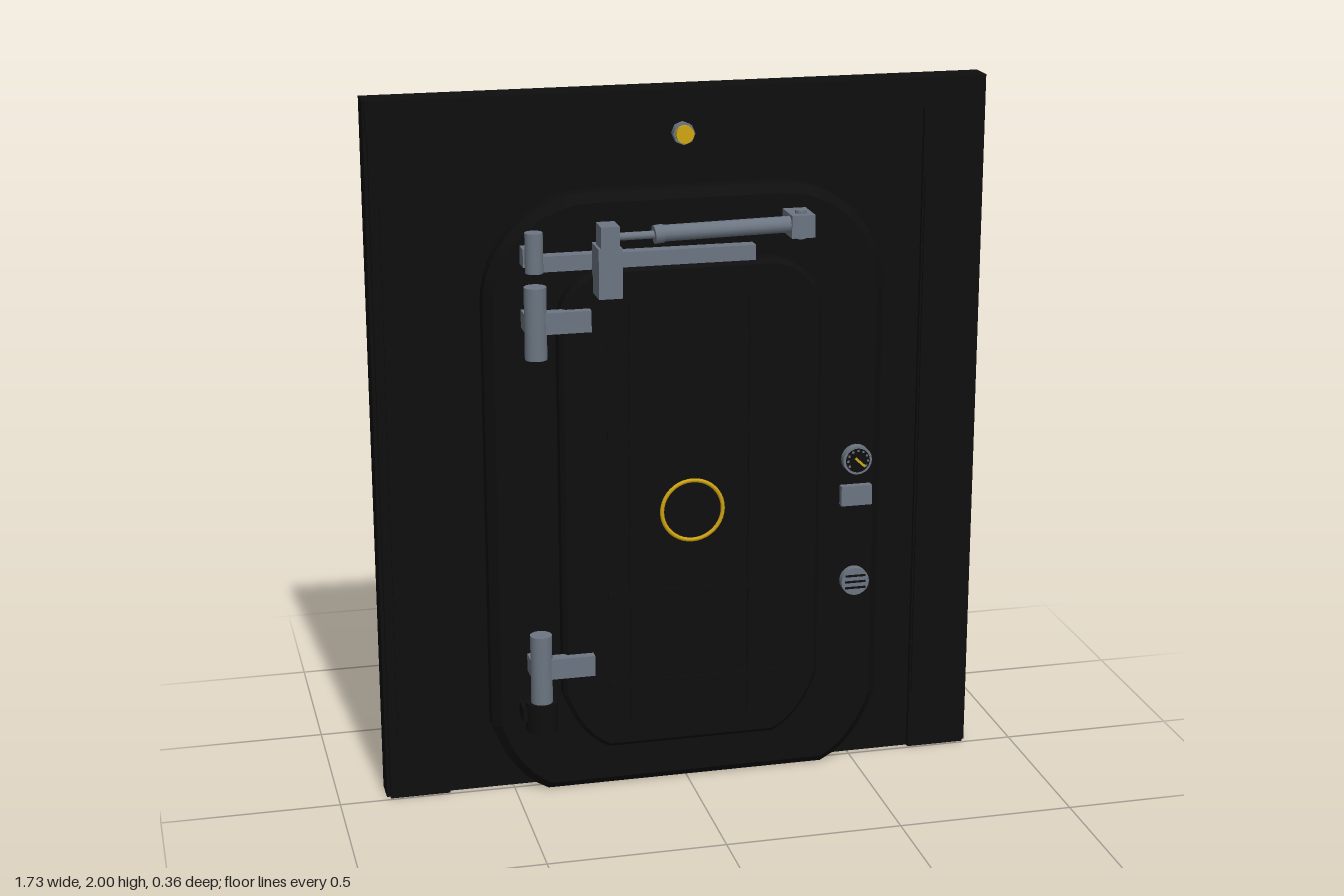
import * as THREE from 'three';

const mat = (name, color, side = THREE.FrontSide) => {
  const m = new THREE.MeshStandardMaterial({ color, side });
  m.name = name;
  return m;
};

// Rounded rectangle; the bottom radius may differ from the top one
function roundRect(C, x, y0, y1, r, rb = r) {
  const s = new C();
  s.moveTo(-x + rb, y0);
  s.lineTo(x - rb, y0);
  s.quadraticCurveTo(x - rb * 0.35, y0 + rb * 0.3, x, y0 + rb * 1.3);
  s.lineTo(x, y1 - r);
  s.absarc(x - r, y1 - r, r, 0, Math.PI / 2, false);
  s.lineTo(-x + r, y1);
  s.absarc(-x + r, y1 - r, r, Math.PI / 2, Math.PI, false);
  s.lineTo(-x, y0 + rb * 1.3);
  s.quadraticCurveTo(-x + rb * 0.35, y0 + rb * 0.3, -x + rb, y0);
  return s;
}

// Extrude a shape between z0 and z1 with a chamfer that stays inside the outline
function slab(shape, z0, z1, b = 0, curveSegments = 6) {
  const g = new THREE.ExtrudeGeometry(shape, {
    depth: z1 - z0 - 2 * b, bevelEnabled: b > 0, bevelThickness: b, bevelSize: b,
    bevelOffset: -b, bevelSegments: 1, curveSegments,
  });
  return g.translate(0, 0, z0 + b);
}

export function createModel() {
  const root = new THREE.Group();
  const black = mat('blackPaint', 0x0e0e0e);
  const steel = mat('steel', 0x6c7682);
  const yellow = mat('yellow', 0xd0a512);
  const copper = mat('copper', 0xb8703c);

  const add = (name, geo, m, parent = root) => {
    const mesh = new THREE.Mesh(geo, m);
    mesh.name = name;
    parent.add(mesh);
    return mesh;
  };
  const group = (name) => {
    const g = new THREE.Group();
    g.name = name;
    root.add(g);
    return g;
  };
  // Box given by its extents
  const box = (name, x0, x1, y0, y1, z0, z1, m, parent) => {
    const b = add(name, new THREE.BoxGeometry(x1 - x0, y1 - y0, z1 - z0), m, parent);
    b.position.set((x0 + x1) / 2, (y0 + y1) / 2, (z0 + z1) / 2);
    return b;
  };
  // Cylinder between two points
  const rod = (name, a, b, r, m, parent, sides = 12) => {
    const p = new THREE.Vector3(...a), q = new THREE.Vector3(...b);
    const c = add(name, new THREE.CylinderGeometry(r, r, p.distanceTo(q), sides), m, parent);
    c.position.copy(p).lerp(q, 0.5);
    c.quaternion.setFromUnitVectors(new THREE.Vector3(0, 1, 0), q.sub(p).normalize());
    return c;
  };

  // Wall panel with doorway
  const wall = new THREE.Shape([[-0.865, 0], [0.865, 0], [0.865, 2], [-0.865, 2]]
    .map(([x, y]) => new THREE.Vector2(x, y)));
  wall.holes.push(roundRect(THREE.Path, 0.45, 0.1, 1.6, 0.15));
  add('wall', slab(wall, -0.097, -0.02), black);
  box('topBeam', -0.86, 0.86, 1.915, 2, -0.02, -0.007, black);
  for (const s of [-1, 1]) {
    box('sidePillar', s * 0.77 - 0.085, s * 0.77 + 0.085, 0, 1.915, -0.02, -0.007, black);
    box('pillarPad', s * 0.76 - 0.07, s * 0.76 + 0.07, 0.17, 1.73, -0.007, 0, black);
  }

  // Thick door frame
  const frame = roundRect(THREE.Shape, 0.565, 0, 1.735, 0.3, 0.16);
  frame.holes.push(roundRect(THREE.Path, 0.33, 0.22, 1.46, 0.09));
  add('doorFrame', slab(frame, -0.15, 0.05, 0.025), black);

  // Door leaf with raised ribs
  const door = group('door');
  add('doorLeaf', slab(roundRect(THREE.Shape, 0.37, 0.14, 1.54, 0.15, 0.13), 0.035, 0.1, 0.012), black, door);
  for (const y of [0.33, 0.6, 1.07, 1.33]) box('doorRib', -0.24, 0.3, y - 0.01, y + 0.01, 0.1, 0.107, black, door);
  for (const x of [-0.17, 0.17]) box('doorRib', x - 0.01, x + 0.01, 0.22, 1.45, 0.1, 0.106, black, door);
  add('doorRing', new THREE.TorusGeometry(0.087, 0.006, 6, 40), yellow, door).position.set(0, 0.836, 0.102);

  // Hinges
  for (const y of [0.405, 1.403]) {
    const h = group('hinge');
    rod('hingeKnuckle', [-0.435, y - 0.1, 0.107], [-0.435, y + 0.1, 0.107], 0.031, steel, h, 16);
    box('hingeArm', -0.42, -0.285, y - 0.03, y + 0.03, 0.09, 0.125, steel, h);
  }
  rod('hingePivot', [-0.435, 0.22, 0.1], [-0.435, 0.305, 0.1], 0.046, black, root, 16);
  rod('upperPin', [-0.435, 1.54, 0.1], [-0.435, 1.65, 0.1], 0.025, steel, root, 16);
  box('pinBlock', -0.49, -0.44, 0.25, 0.29, 0.05, 0.115, black);
  for (const y of [0.405, 1.403, 1.58]) box('hingeMount', -0.465, -0.41, y - 0.025, y + 0.025, 0.045, 0.1, steel);

  // Door closer: swing bar, brackets and piston
  const closer = group('doorCloser');
  box('closerBar', -0.44, 0.18, 1.537, 1.58, 0.052, 0.09, steel, closer);
  box('closerBracket', -0.275, -0.21, 1.475, 1.612, 0.088, 0.178, steel, closer);
  box('bracketCap', -0.268, -0.217, 1.612, 1.672, 0.11, 0.178, steel, closer);
  rod('pistonRod', [-0.22, 1.635, 0.137], [-0.1, 1.635, 0.134], 0.011, steel, closer);
  rod('pistonCollar', [-0.115, 1.635, 0.135], [-0.09, 1.637, 0.134], 0.026, steel, closer);
  rod('pistonTube', [-0.1, 1.637, 0.134], [0.28, 1.64, 0.12], 0.023, steel, closer);
  box('pistonMount', 0.265, 0.33, 1.605, 1.668, 0.045, 0.148, steel, closer);
  rod('pistonPin', [0.298, 1.598, 0.115], [0.298, 1.677, 0.115], 0.016, steel, closer);

  // Warning lamp over the door
  rod('lampBase', [0, 1.877, -0.022], [0, 1.877, 0.004], 0.031, steel, root, 8);
  rod('lampLens', [0, 1.877, 0], [0, 1.877, 0.018], 0.025, yellow, root, 12);

  // Controls on both faces: gauge, call box, slatted knob
  for (const [s, z] of [[1, 0.05], [-1, -0.15]]) {
    const c = group('controls'), X = 0.487, at = (d) => z + s * d;
    const t = s > 0 ? 0.024 : 0.03;
    rod('gaugeBody', [X, 0.935, at(-0.01)], [X, 0.935, at(t)], 0.042, steel, c, 20);
    rod('gaugeFace', [X, 0.935, at(t)], [X, 0.935, at(t + 0.002)], 0.035, black, c, 20);
    const needle = add('gaugeNeedle', new THREE.BoxGeometry(0.038, 0.007, 0.003), yellow, c);
    needle.position.set(X + s * 0.006, 0.93, at(t + 0.004));
    needle.rotation.z = -s * 0.75;
    for (let i = 0; i < 9; i++) {
      const a = -0.6 + i * 0.54;
      box('gaugeTick', -0.003, 0.003, -0.003, 0.003, -0.001, 0.001, steel, c)
        .position.set(X + 0.029 * Math.cos(a), 0.935 + 0.029 * Math.sin(a), at(t + 0.003));
    }
    box('callBox', 0.442, 0.532, 0.8, 0.858, Math.min(z, at(0.022)), Math.max(z, at(0.022)), steel, c);
    rod('knobBody', [X, 0.57, at(-0.01)], [X, 0.57, at(0.024)], 0.041, steel, c, 20);
    for (const dy of [-0.018, 0, 0.018]) {
      box('knobSlot', X - 0.03, X + 0.03, 0.567 + dy, 0.573 + dy, at(0.024) - 0.002, at(0.024) + 0.002, black, c);
    }
  }
  // Copper lever on the back
  box('leverHandle', 0.401, 0.421, 0.59, 0.685, -0.176, -0.164, copper);
  rod('leverStem', [0.411, 0.605, -0.145], [0.411, 0.605, -0.182], 0.009, copper, root, 10);

  // Locking mechanism on the back of the door
  const lock = group('lockMechanism'), Y = 0.836;
  const disc = new THREE.Shape();
  disc.absarc(0, 0, 0.15, 0, Math.PI * 2, false);
  for (let i = 0; i < 5; i++) {
    const a = i * Math.PI * 0.4 + 0.3, h = new THREE.Path();
    h.absarc(0.092 * Math.cos(a), 0.092 * Math.sin(a), 0.033, 0, Math.PI * 2, true);
    disc.holes.push(h);
  }
  add('lockDisc', slab(disc, 0, 0.015, 0, 20), steel, lock).position.y = Y;
  rod('wheelShaft', [0, Y, 0.04], [0, Y, -0.035], 0.018, steel, lock);
  for (const sx of [-1, 1]) for (const sy of [-1, 1]) {
    const tip = [sx * 0.115, Y + sy * 0.565, 0.014];
    rod('longBolt', [sx * 0.035, Y + sy * 0.13, 0.014], tip, 0.007, steel, lock, 8);
    box('boltGuide', tip[0] - 0.014, tip[0] + 0.014, tip[1] - 0.03, tip[1] - 0.005, 0.002, 0.037, steel, lock);
    const knee = [sx * 0.2, Y + sy * 0.3, 0.014];
    rod('shortBolt', [sx * 0.085, Y + sy * 0.11, 0.014], knee, 0.007, steel, lock, 8);
    rod('boltEnd', knee, [sx * 0.29, Y + sy * 0.315, 0.014], 0.009, steel, lock, 8);
    box('boltGuide', sx * 0.25 - 0.012, sx * 0.25 + 0.012, Y + sy * 0.308 - 0.018, Y + sy * 0.308 + 0.018, 0.002, 0.037, steel, lock);
  }

  // Copper handwheel
  const wheel = group('handwheel');
  wheel.position.set(0, Y, -0.035);
  add('wheelRim', new THREE.TorusGeometry(0.14, 0.011, 8, 36), copper, wheel);
  rod('wheelHub', [0, 0, -0.014], [0, 0, 0.014], 0.032, copper, wheel, 16);
  for (let i = 0; i < 5; i++) {
    const a = Math.PI / 2 + i * Math.PI * 0.4;
    rod('wheelSpoke', [0, 0, 0], [0.14 * Math.cos(a), 0.14 * Math.sin(a), 0], 0.009, copper, wheel, 8);
  }
  return root;
}
